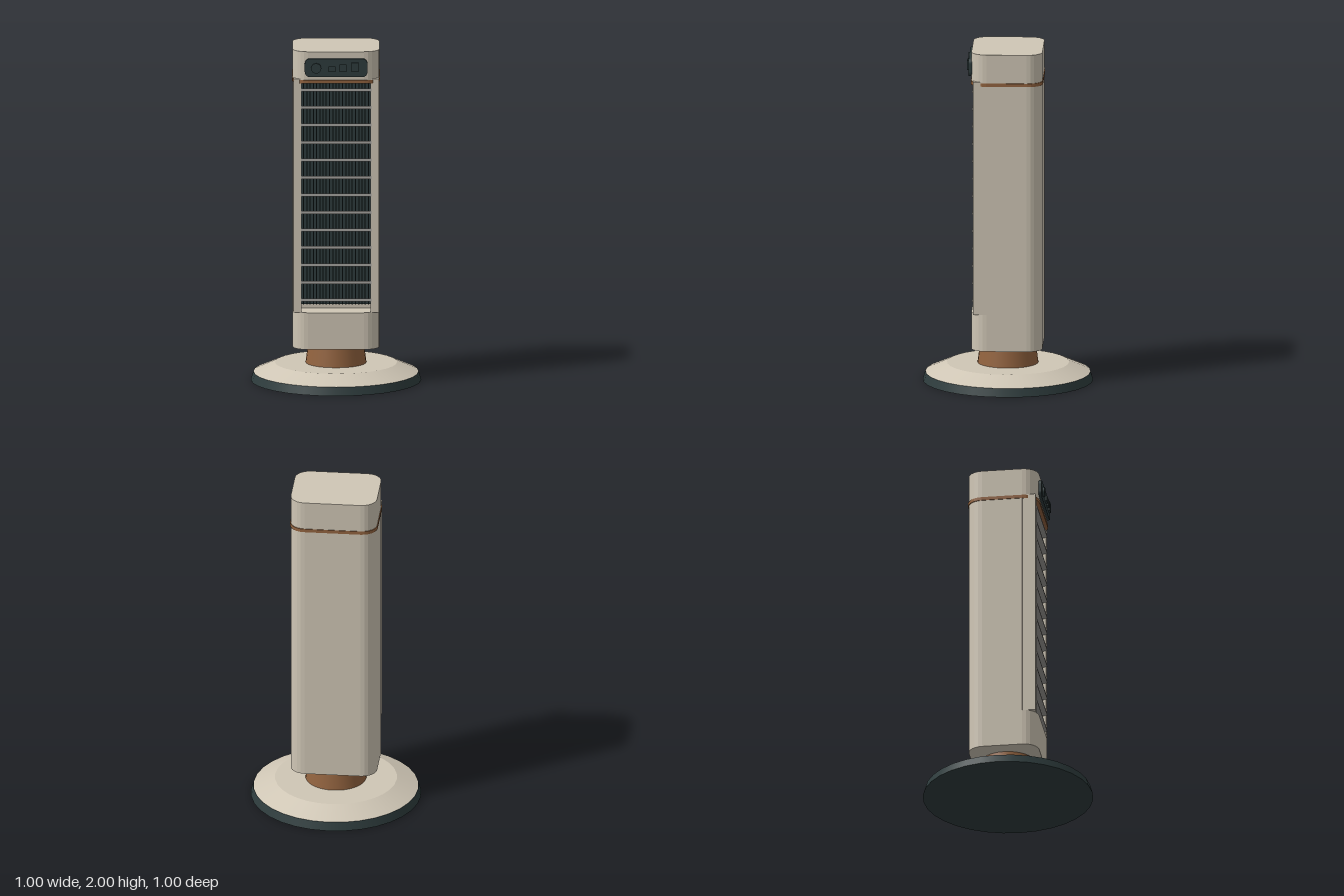
import * as THREE from 'three';

const mat = (name, color) => {
  const m = new THREE.MeshStandardMaterial({ color });
  m.name = name;
  return m;
};

export function createModel() {
  const root = new THREE.Group();
  root.name = 'towerHeater';
  const cream = mat('cream', 0xcfc6b5);
  const dark = mat('charcoal', 0x2e3c3d);
  const copper = mat('copper', 0x92633f);
  const grey = mat('slatGrey', 0x999793);

  const add = (name, geo, material, x = 0, y = 0, z = 0, parent = root) => {
    const mesh = new THREE.Mesh(geo, material);
    mesh.name = name;
    mesh.position.set(x, y, z);
    parent.add(mesh);
    return mesh;
  };
  const box = (w, h, d) => new THREE.BoxGeometry(w, h, d);

  // Rounded rectangle centred on the origin
  const roundedRect = (hw, hh, r) => {
    const s = new THREE.Shape();
    s.absarc(hw - r, hh - r, r, 0, Math.PI / 2);
    s.absarc(-hw + r, hh - r, r, Math.PI / 2, Math.PI);
    s.absarc(-hw + r, -hh + r, r, Math.PI, Math.PI * 1.5);
    s.absarc(hw - r, -hh + r, r, Math.PI * 1.5, Math.PI * 2);
    s.closePath();
    return s;
  };
  // Extrude a floor plan (x, -z) upwards
  const rise = (shape, height, curveSegments = 3) =>
    new THREE.ExtrudeGeometry(shape, { depth: height, bevelEnabled: false, curveSegments })
      .rotateX(-Math.PI / 2);

  // Round foot and neck
  add('baseRim', new THREE.CylinderGeometry(0.485, 0.5, 0.05, 32), dark, 0, 0.025);
  add('baseCover', new THREE.CylinderGeometry(0.358, 0.484, 0.055, 32), cream, 0, 0.0775);
  add('neck', new THREE.CylinderGeometry(0.163, 0.179, 0.125, 32), copper, 0, 0.1625);

  // Solid lower and upper housing
  const plan = roundedRect(0.254, 0.208, 0.09);
  add('lowerHousing', rise(plan, 0.22), cream, 0, 0.22);
  add('upperHousing', rise(plan, 0.18), cream, 0, 1.82);
  add('trimRing', rise(roundedRect(0.258, 0.212, 0.092), 0.02), copper, 0, 1.81);

  // Middle shell, open at the front
  const shell = new THREE.Shape();
  shell.moveTo(0.254, -0.12);
  shell.lineTo(0.254, 0.118);
  shell.absarc(0.164, 0.118, 0.09, 0, Math.PI / 2);
  shell.absarc(-0.164, 0.118, 0.09, Math.PI / 2, Math.PI);
  shell.lineTo(-0.254, -0.12);
  shell.lineTo(-0.205, -0.12);
  shell.lineTo(-0.205, -0.06);
  shell.lineTo(0.205, -0.06);
  shell.lineTo(0.205, -0.12);
  shell.closePath();
  add('middleShell', rise(shell, 1.38), cream, 0, 0.44);

  // Upright posts beside the opening
  for (const s of [-1, 1])
    add(s > 0 ? 'leftPost' : 'rightPost', box(0.048, 1.395, 0.117), cream, s * 0.227, 1.1375, 0.1385);

  // Dark grille with fine upright fins
  const grille = new THREE.Group();
  grille.name = 'grille';
  root.add(grille);
  add('grillePanel', box(0.404, 1.35, 0.015), dark, 0, 1.14, 0.0675, grille);
  for (let i = 0; i < 21; i++)
    add('grilleFin', box(0.007, 1.35, 0.01), dark, -0.19 + i * 0.019, 1.14, 0.079, grille);

  // Louvre slats, front edge slightly raised
  const slats = new THREE.Group();
  slats.name = 'slats';
  root.add(slats);
  const slatGeo = box(0.412, 0.016, 0.09).translate(0, 0, -0.045).rotateX(-0.18);
  for (let i = 0; i < 13; i++)
    add('slat', slatGeo, grey, 0, 0.515 + i * 0.1046, 0.203, slats);

  // Control panel and buttons
  const plate = new THREE.ExtrudeGeometry(roundedRect(0.184, 0.055, 0.032),
    { depth: 0.02, bevelEnabled: false, curveSegments: 6 });
  add('controlPanel', plate, dark, 0, 1.906, 0.204);
  add('dial', new THREE.CylinderGeometry(0.03, 0.03, 0.014, 20).rotateX(Math.PI / 2), dark,
    -0.117, 1.905, 0.229);
  for (const [x, y, h] of [[-0.025, 1.9, 0.033], [0.041, 1.906, 0.044], [0.11, 1.911, 0.055]])
    add('button', box(0.04, h, 0.014), dark, x, y, 0.229);

  return root;
}
